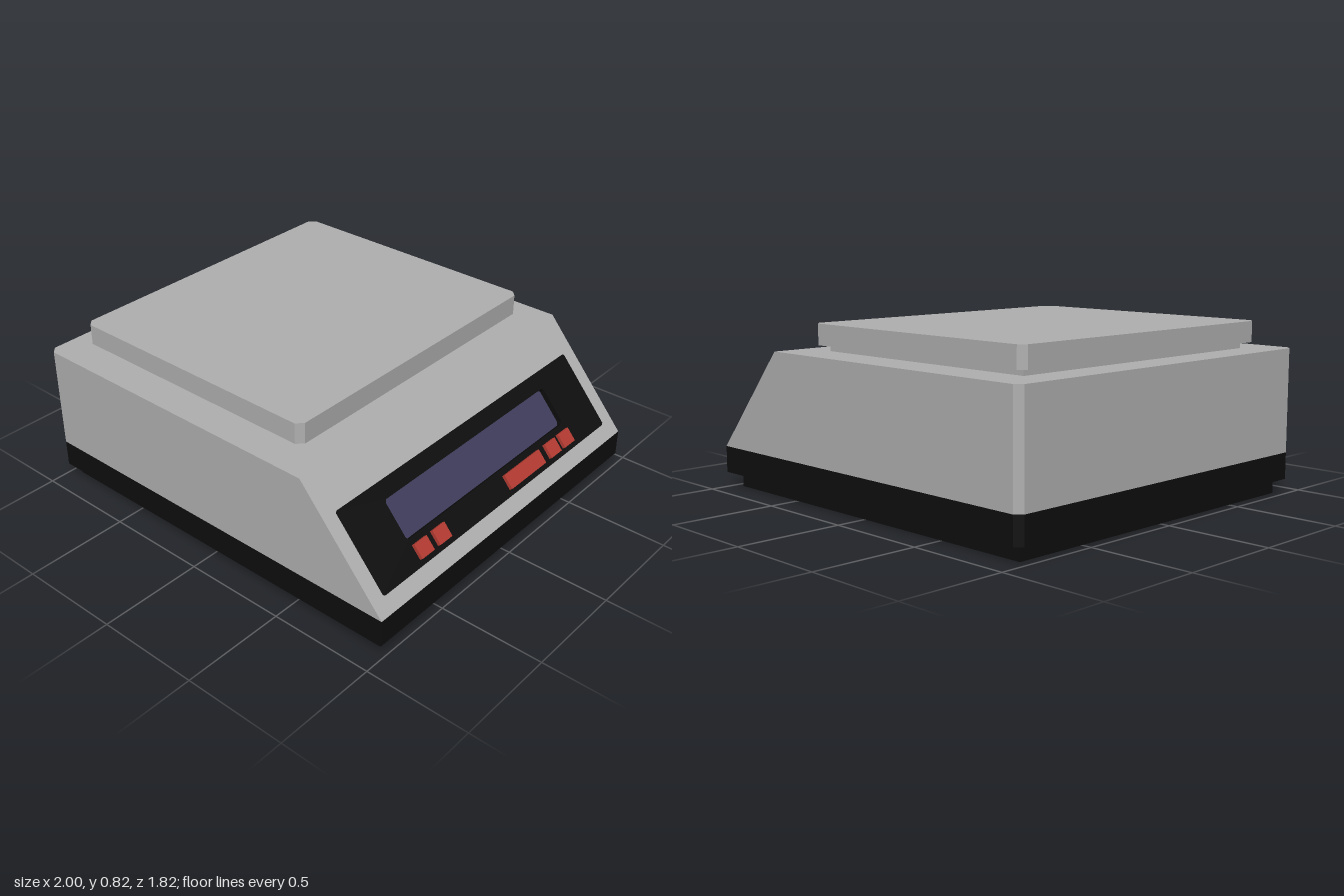
import * as THREE from 'three';

const paint = (name, color) => {
  const m = new THREE.MeshStandardMaterial({ color });
  m.name = name;
  return m;
};

// Rectangle outline with a corner cut on the low-x and the high-x side
function cutRect(x0, x1, y0, y1, cutLow, cutHigh, Type = THREE.Shape) {
  const pts = [];
  const add = (x, y) => pts.push(new THREE.Vector2(x, y));
  if (cutLow) { add(x0, y1 - cutLow); add(x0, y0 + cutLow); add(x0 + cutLow, y0); } else { add(x0, y1); add(x0, y0); }
  if (cutHigh) { add(x1 - cutHigh, y0); add(x1, y0 + cutHigh); add(x1, y1 - cutHigh); add(x1 - cutHigh, y1); } else { add(x1, y0); add(x1, y1); }
  if (cutLow) add(x0 + cutLow, y1);
  return new Type(pts);
}

// Upright slab: plan outline in x/z, extruded from yLow to yHigh
function slab(x0, x1, halfZ, yLow, yHigh, cutBack, cutFront) {
  const geo = new THREE.ExtrudeGeometry(cutRect(x0, x1, -halfZ, halfZ, cutBack, cutFront),
    { depth: yHigh - yLow, bevelEnabled: false });
  return geo.rotateX(-Math.PI / 2).translate(0, yLow, 0);
}

export function createModel() {
  const model = new THREE.Group();
  const grey = paint('casing grey', 0xb0b0b0);
  const black = paint('base black', 0x0e0e0e);
  const violet = paint('display violet', 0x3f3d5c);
  const red = paint('button red', 0xb53c32);

  const add = (name, geo, mat, parent = model) => {
    const mesh = new THREE.Mesh(geo, mat);
    mesh.name = name;
    parent.add(mesh);
    return mesh;
  };

  const bottom = 0.2, top = 0.695, halfZ = 0.912, slopeTopX = 0.57;
  const recess = 0.03;
  const run = 1 - slopeTopX, rise = top - bottom;
  const length = Math.hypot(run, rise);
  const inset = recess * length / rise;

  // Foot and base
  add('foot', slab(-0.95, 0.95, 0.855, 0, 0.075, 0, 0), black);
  add('base', slab(-1, 1, halfZ, 0.072, bottom, 0.03, 0), black);

  // Casing: front edge leans back, set in by the thickness of the sloped front
  const casing = slab(-1, 1 - inset, halfZ, bottom, top, 0.03, 0);
  const cp = casing.attributes.position;
  for (let i = 0; i < cp.count; i++) {
    if (cp.getX(i) > 0.5 && cp.getY(i) > 0.5) cp.setX(i, slopeTopX - inset);
  }
  casing.computeVertexNormals();
  add('casing', casing, grey);

  // Sloped front: local x runs along the width, local y up the slope, local z outward
  const front = new THREE.Group();
  front.name = 'slopedFront';
  const up = new THREE.Vector3(-run / length, rise / length, 0);
  const out = new THREE.Vector3(rise / length, run / length, 0);
  front.setRotationFromMatrix(new THREE.Matrix4().makeBasis(new THREE.Vector3(0, 0, -1), up, out));
  front.position.set(1, bottom, 0);
  model.add(front);

  const plateWithHole = (outer, hole) => {
    outer.holes.push(hole);
    return new THREE.ExtrudeGeometry(outer, { depth: recess, bevelEnabled: false }).translate(0, 0, -recess);
  };
  const panel = [-0.84, 0.84, 0.075, 0.468, 0.008, 0.008];
  const window_ = [-0.59, 0.59, 0.2, 0.39, 0.012, 0.012];

  // Frame, its upper and lower edges mitred to lie level with the casing
  const frame = plateWithHole(cutRect(-halfZ, halfZ, 0, length, 0, 0), cutRect(...panel, THREE.Path));
  const fp = frame.attributes.position;
  for (let i = 0; i < fp.count; i++) {
    const y = fp.getY(i);
    if (fp.getZ(i) < -0.01 && (y < 0.01 || y > length - 0.01)) fp.setY(i, y + recess * run / rise);
  }
  frame.computeVertexNormals();
  add('frontFrame', frame, grey, front);
  add('controlPanel', plateWithHole(cutRect(...panel), cutRect(...window_, THREE.Path)), black, front);

  // Recessed display
  add('display', new THREE.BoxGeometry(1.18, 0.19, 0.004).translate(0, 0.295, -recess + 0.001), violet, front);

  // Buttons: start and end across the width
  for (const [a, b] of [[-0.582, -0.499], [-0.46, -0.377], [0.068, 0.342], [0.391, 0.474], [0.504, 0.587]]) {
    add('button', new THREE.BoxGeometry(b - a, 0.07, 0.027).translate((a + b) / 2, 0.137, 0.0035), red, front);
  }

  // Weighing plate on its support
  add('plateSupport', slab(-0.835, 0.405, 0.72, top - 0.005, 0.73, 0, 0), grey);
  add('weighingPlate', slab(-0.882, 0.45, 0.775, 0.725, 0.824, 0.03, 0.03), grey);

  return model;
}
